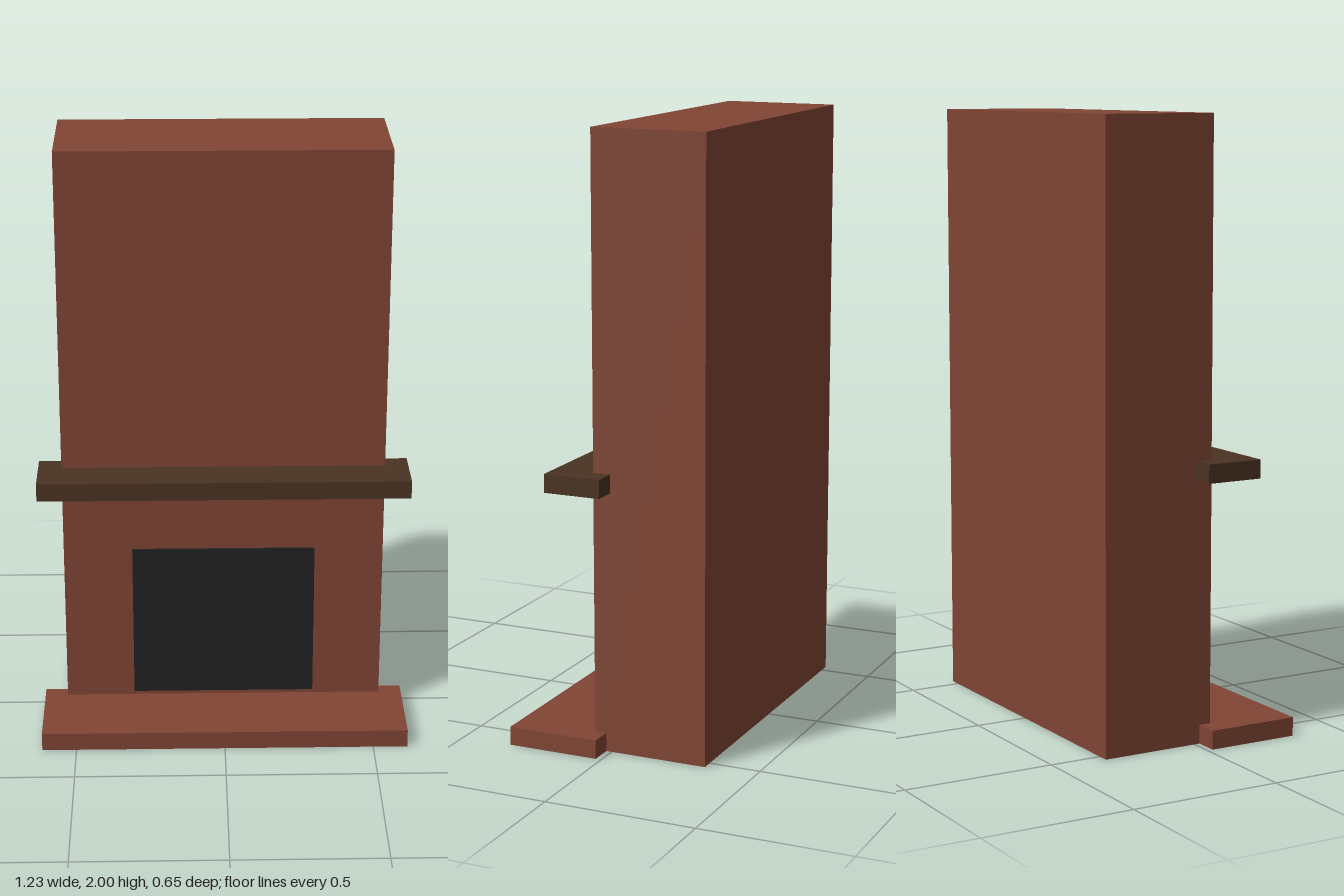
import * as THREE from 'three';

export function createModel() {
  const group = new THREE.Group();
  const material = (name, color) => Object.assign(new THREE.MeshStandardMaterial({ color }), { name });
  const brick = material('brick red', 0x804535);
  const wood = material('dark wood', 0x4a3322);
  const soot = material('soot black', 0x222222);

  // Box centred on x, given its width and its y and z ranges
  const addBox = (name, mat, width, [y0, y1], [z0, z1]) => {
    const mesh = new THREE.Mesh(new THREE.BoxGeometry(width, y1 - y0, z1 - z0), mat);
    mesh.position.set(0, (y0 + y1) / 2, (z0 + z1) / 2);
    mesh.name = name;
    group.add(mesh);
  };

  // Chimney breast, full height
  addBox('chimneyBreast', brick, 1.076, [0, 2], [-0.327, 0.058]);
  // Raised hearth slab, set slightly into the chimney
  addBox('hearth', brick, 1.23, [0, 0.0615], [0.019, 0.327]);
  // Mantel shelf wrapping the chimney front
  addBox('mantelShelf', wood, 1.23, [0.857, 0.918], [0, 0.192]);
  // Dark firebox opening as a thin plate
  addBox('fireboxOpening', soot, 0.615, [0.077, 0.618], [0.057, 0.0655]);

  return group;
}
